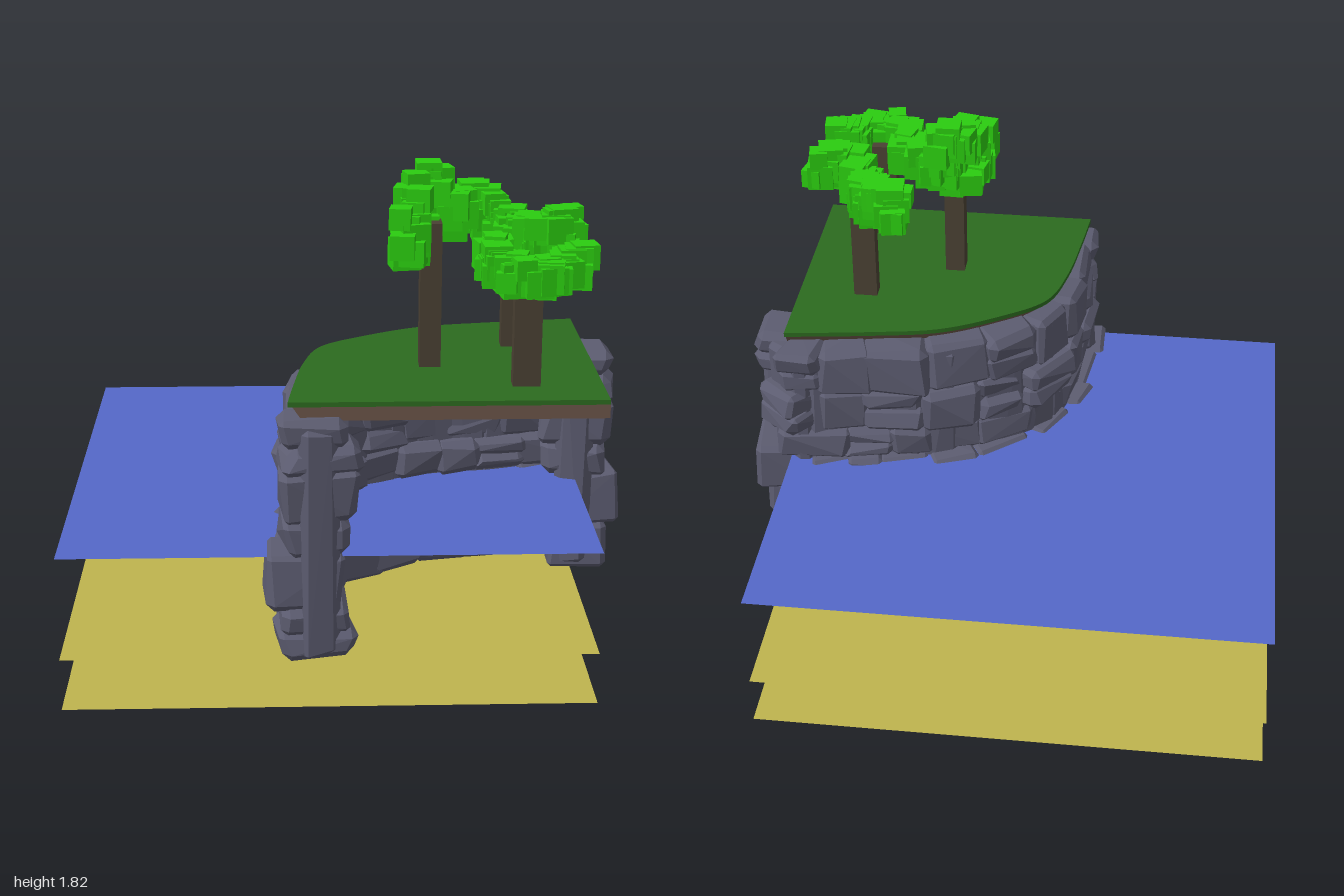
import * as THREE from 'three';
import { ConvexGeometry } from 'three/addons/geometries/ConvexGeometry.js';

const mat = (color, side = THREE.FrontSide) =>
  new THREE.MeshStandardMaterial({ color, side, flatShading: true });

const MATS = {
  water: mat(0x5468c8, THREE.DoubleSide),
  sand: mat(0xbfb44e, THREE.DoubleSide),
  grass: mat(0x2c6b1f),
  dirt: mat(0x6b5548),
  rock: mat(0x5c5c70),
  trunk: mat(0x4a4133),
  leaf: mat(0x2bcc10),
};

// seeded random numbers
let seed = 7;
const rand = () => {
  seed = (seed * 16807) % 2147483647;
  return seed / 2147483647;
};
const range = (a, b) => a + (b - a) * rand();
const jitter = (a) => range(-a, a);

function add(parent, name, geometry, material) {
  const mesh = new THREE.Mesh(geometry, material);
  mesh.name = name;
  parent.add(mesh);
  return mesh;
}

// path over the ground from [x, z] pairs
const groundPath = (pts) =>
  new THREE.CatmullRomCurve3(pts.map(([x, z]) => new THREE.Vector3(x, 0, z)), false, 'centripetal');

// irregular stone: a box with cut, shaken corners
function stoneGeometry(l, h, t) {
  const pts = [];
  for (const sx of [-1, 1]) for (const sy of [-1, 1]) for (const sz of [-1, 1]) {
    const c = range(0.012, 0.035);
    const x = sx * (l / 2 + jitter(0.012));
    const y = sy * (h / 2 + jitter(0.006));
    const z = sz * (t / 2 + jitter(0.014));
    pts.push(
      new THREE.Vector3(x - sx * c, y, z - sz * c),
      new THREE.Vector3(x, y - sy * c, z - sz * c),
      new THREE.Vector3(x - sx * c, y - sy * c, z));
  }
  return new ConvexGeometry(pts);
}

// curved cliff of stacked stones
function createCliff() {
  const cliff = new THREE.Group();
  cliff.name = 'cliff';
  const path = groundPath([[-0.1, 0.94], [-0.12, 0.6], [-0.06, 0.31], [0.1, 0.16],
    [0.32, 0.05], [0.6, 0.01], [0.84, -0.03], [0.89, 0.04], [0.88, 0.17]]);
  const length = path.getLength();
  const place = (name, s, y, l, h, t, out) => {
    const u = THREE.MathUtils.clamp(s / length, 0, 1);
    const p = path.getPointAt(u);
    const d = path.getTangentAt(u);
    const stone = add(cliff, name, stoneGeometry(l, h, t), MATS.rock);
    stone.position.set(p.x + d.z * out, y, p.z - d.x * out);
    stone.rotation.y = Math.atan2(-d.z, d.x) + jitter(0.06);
  };

  // solid core behind the joints
  const coreCount = 14;
  for (let i = 0; i < coreCount; i++) {
    place('cliffCore', (i + 0.5) * length / coreCount, 0.63, length / coreCount + 0.05, 0.84, 0.13, 0);
  }

  // courses of stone, some split into two thin ones
  const edges = [0.2, 0.385, 0.58, 0.7, 0.88, 1.065];
  const bulge = [0.015, 0.035, -0.01, 0.01, 0];
  for (let row = 0; row < 5; row++) {
    const h = edges[row + 1] - edges[row];
    let s = 0;
    while (s < length - 0.03) {
      let l = range(0.12, 0.25);
      if (length - s - l < 0.08) l = length - s;
      const atEnd = s === 0 || s + l >= length - 0.01;
      const parts = rand() < 0.35 ? 2 : 1;
      for (let k = 0; k < parts; k++) {
        const t = (atEnd ? 0.24 : 0.19) + jitter(0.025);
        place('cliffStone', s + l / 2, edges[row] + h * (k + 0.5) / parts,
          l + 0.025, h / parts + 0.008, t, bulge[row] + jitter(0.015));
      }
      s += l;
    }
  }
  return cliff;
}

// flat slab from the island outline, top at the given height
function slabGeometry(top, depth) {
  const shape = new THREE.Shape();
  shape.moveTo(0.88, 0.91);
  shape.lineTo(-0.2, 0.91);
  shape.splineThru([[-0.18, 0.72], [-0.145, 0.47], [-0.08, 0.27], [0.08, 0.14], [0.3, 0.025],
    [0.55, -0.025], [0.88, -0.07]].map(([x, z]) => new THREE.Vector2(x, z)));
  shape.closePath();
  const g = new THREE.ExtrudeGeometry(shape, { depth, bevelEnabled: false, curveSegments: 16 });
  g.rotateX(Math.PI / 2);
  g.translate(0, top, 0);
  return g;
}

function createIsland() {
  const island = new THREE.Group();
  island.name = 'islandTop';
  add(island, 'grass', slabGeometry(1.125, 0.017), MATS.grass);
  // soil narrows towards its underside
  const soil = slabGeometry(1.108, 0.048);
  const p = soil.attributes.position;
  for (let i = 0; i < p.count; i++) {
    const k = p.getY(i) < 1.08 ? 0.955 : 0.985;
    p.setX(i, 0.88 + (p.getX(i) - 0.88) * k);
    p.setZ(i, 0.91 + (p.getZ(i) - 0.91) * k);
  }
  soil.computeVertexNormals();
  add(island, 'soil', soil, MATS.dirt);
  return island;
}

// tree: square trunk and an arc of leaf cubes; points are [x, z, low, high]
function createTree({ x, z, w, d, top, arc, count }) {
  const tree = new THREE.Group();
  tree.name = 'tree';
  add(tree, 'trunk', new THREE.BoxGeometry(w, top - 1.12, d), MATS.trunk)
    .position.set(x, (top + 1.12) / 2, z);
  const path = groundPath(arc);
  for (let i = 0; i < count; i++) {
    const u = (i + 0.5) / count;
    const f = u * (arc.length - 1);
    const a = arc[Math.floor(f)];
    const b = arc[Math.ceil(f)];
    const size = range(0.065, 0.1);
    const low = THREE.MathUtils.lerp(a[2], b[2], f % 1) + size / 2;
    const high = THREE.MathUtils.lerp(a[3], b[3], f % 1) - size / 2;
    const c = path.getPoint(u);
    const leaf = add(tree, 'leafCube', new THREE.BoxGeometry(size, size, size), MATS.leaf);
    // successive cubes climb through the foliage height
    const level = ((i * 0.382) % 1);
    leaf.position.set(c.x + jitter(0.035), THREE.MathUtils.lerp(low, high, level), c.z + jitter(0.035));
    leaf.rotation.y = jitter(0.25);
  }
  return tree;
}

export function createModel() {
  const model = new THREE.Group();
  model.name = 'cliffIsland';

  // water surface and two sea floors
  for (const [name, y, m] of [['water', 0.57, MATS.water], ['upperSand', 0.19, MATS.sand], ['lowerSand', 0, MATS.sand]]) {
    const plane = add(model, name, new THREE.PlaneGeometry(1.88, 1.88).rotateX(-Math.PI / 2), m);
    plane.position.set(-0.06, y, -0.03);
  }

  model.add(createCliff(), createIsland());

  const trees = [
    { x: 0.3, z: 0.49, w: 0.075, d: 0.08, top: 1.64, count: 60,
      arc: [[0.22, 0.61, 1.5, 1.7], [0.23, 0.5, 1.48, 1.78], [0.27, 0.39, 1.48, 1.83], [0.33, 0.35, 1.6, 1.82], [0.4, 0.39, 1.52, 1.75]] },
    { x: 0.615, z: 0.73, w: 0.095, d: 0.06, top: 1.52, count: 60,
      arc: [[0.53, 0.56, 1.49, 1.65], [0.5, 0.69, 1.48, 1.62], [0.54, 0.79, 1.46, 1.61], [0.62, 0.83, 1.45, 1.6], [0.71, 0.78, 1.46, 1.6], [0.79, 0.7, 1.48, 1.64]] },
    { x: 0.62, z: 0.26, w: 0.09, d: 0.06, top: 1.54, count: 80,
      arc: [[0.45, 0.06, 1.54, 1.71], [0.54, 0.13, 1.48, 1.7], [0.59, 0.23, 1.45, 1.64], [0.63, 0.35, 1.46, 1.64], [0.71, 0.44, 1.46, 1.66], [0.8, 0.4, 1.5, 1.7]] },
  ];
  trees.forEach((t) => model.add(createTree(t)));
  return model;
}
